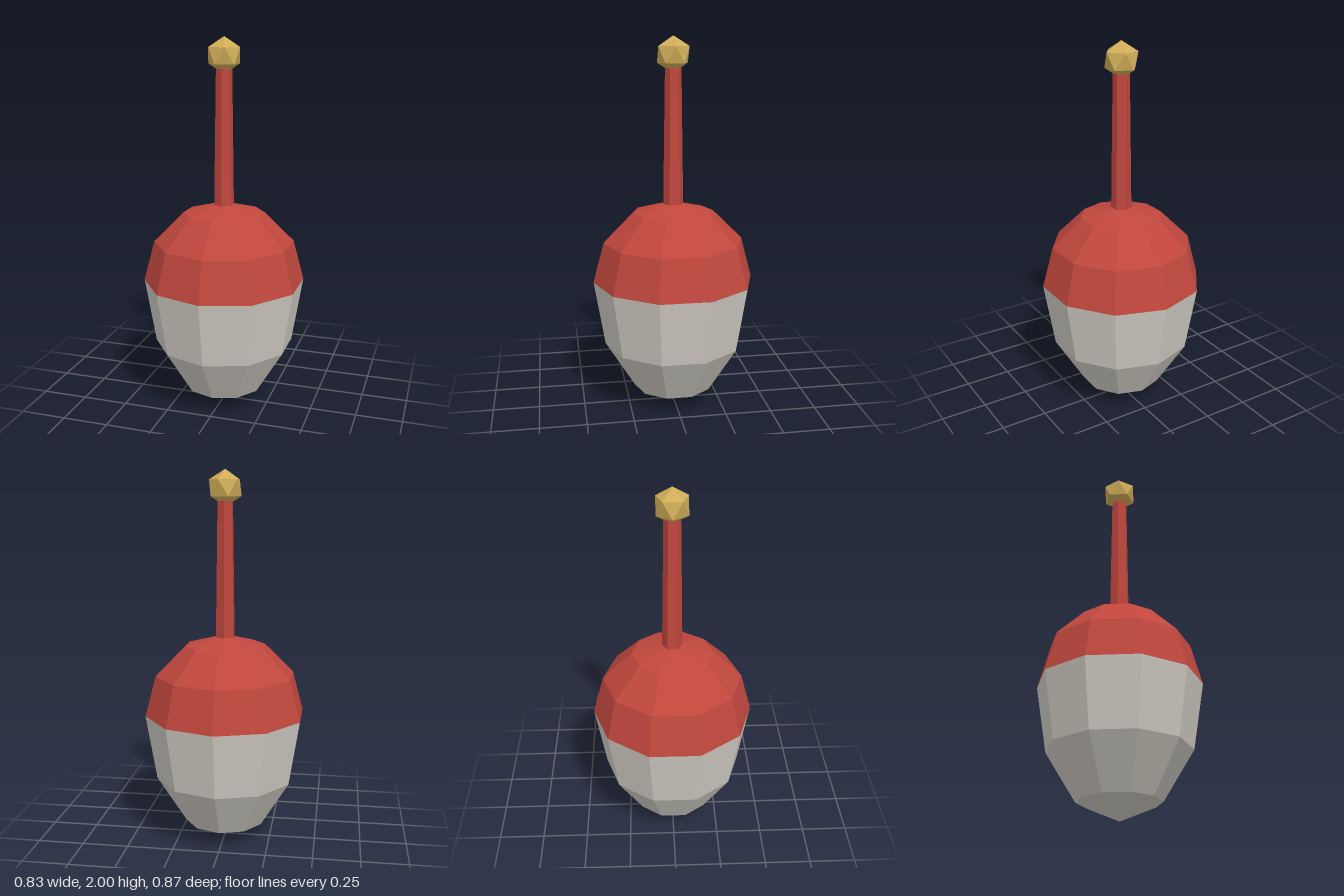
import * as THREE from 'three';

const R = 0.435, SIDES = 10, WAIST = 0.705;

function part(name, geometry, color) {
  const mesh = new THREE.Mesh(geometry, new THREE.MeshStandardMaterial({ color, flatShading: true }));
  mesh.name = name;
  return mesh;
}

// Quarter-ellipse profile from the latitude a0 to a1 (degrees), in 30 degree steps
function shell(height, a0, a1) {
  const points = [];
  for (let a = a0; a <= a1; a += 30) {
    const t = THREE.MathUtils.degToRad(a);
    points.push(new THREE.Vector2(Math.max(0, R * Math.cos(t)), WAIST + height * Math.sin(t)));
  }
  return new THREE.LatheGeometry(points, SIDES);
}

export function createModel() {
  const model = new THREE.Group();
  model.name = 'float';

  // Two-tone body: long pale lower half, round red dome
  model.add(part('lowerBody', shell(WAIST, -90, 0), 0xcfcbc2));
  model.add(part('upperDome', shell(R, 0, 90), 0xc0473d));

  // Tapered six-sided stem
  const stem = part('stem', new THREE.CylinderGeometry(0.043, 0.054, 0.74, 6), 0xc0473d);
  stem.position.y = 1.485;
  model.add(stem);

  // Faceted tip, turned so one corner points straight up
  const tipGeometry = new THREE.IcosahedronGeometry(0.095, 0);
  tipGeometry.rotateZ(-Math.atan(2 / (1 + Math.sqrt(5))));
  const tip = part('tipBall', tipGeometry, 0xd0ac58);
  tip.position.y = 1.905;
  model.add(tip);

  return model;
}
